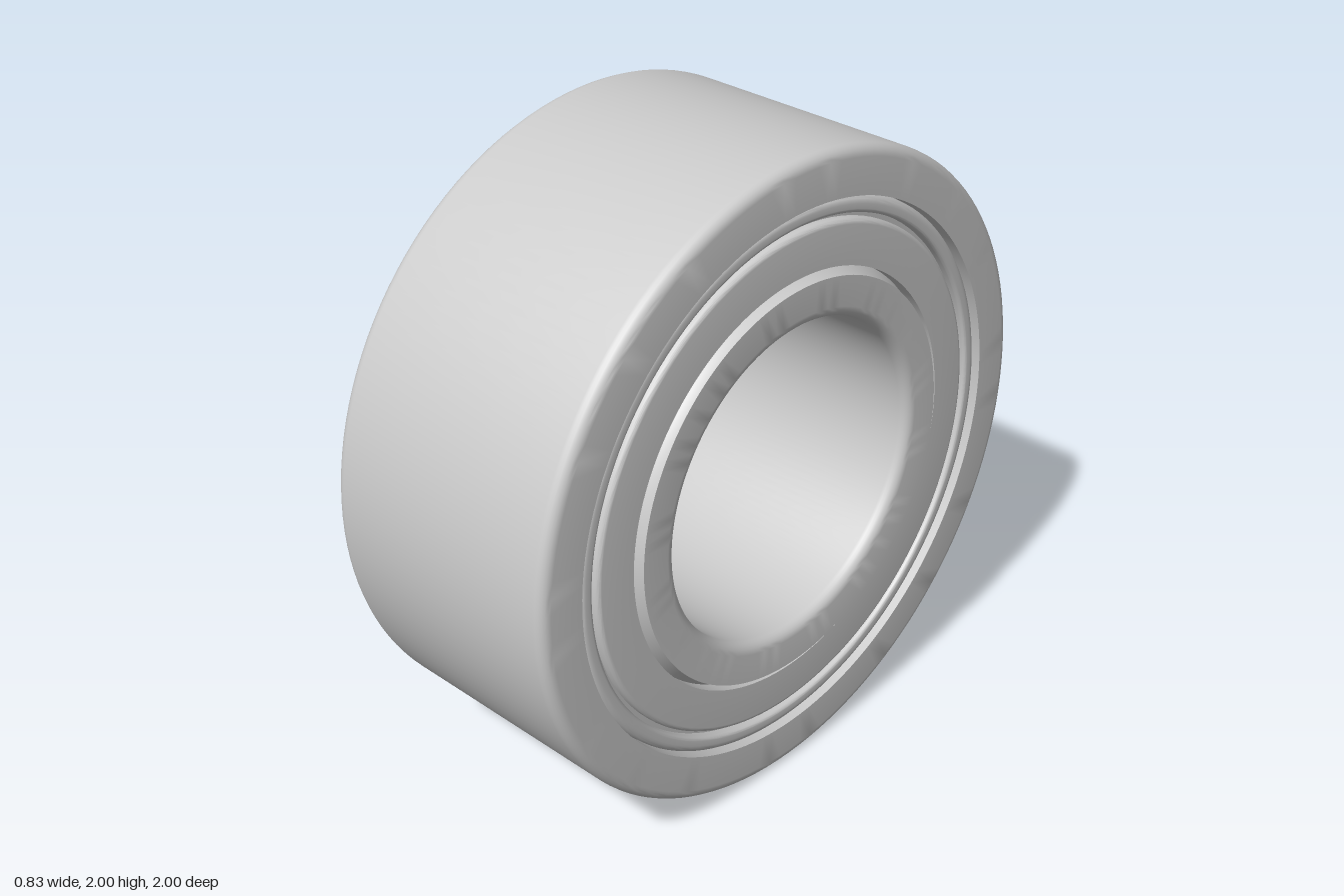
import * as THREE from 'three';
import { toCreasedNormals } from 'three/addons/utils/BufferGeometryUtils.js';

const HALF = 0.415; // half the bearing width
const SEGMENTS = 128;

// Closed cross-section: corners [radius, axial, fillet], counter-clockwise.
function roundedProfile(corners, steps = 6) {
  const pts = [];
  const n = corners.length;
  corners.forEach(([r, a, fillet = 0], i) => {
    const p = new THREE.Vector2(r, a);
    if (!fillet) return pts.push(p);
    const [pr, pa] = corners[(i + n - 1) % n];
    const [nr, na] = corners[(i + 1) % n];
    const toPrev = new THREE.Vector2(pr - r, pa - a).normalize().multiplyScalar(fillet);
    const toNext = new THREE.Vector2(nr - r, na - a).normalize().multiplyScalar(fillet);
    // quarter round between the two tangent points
    const centre = p.clone().add(toPrev).add(toNext);
    for (let s = 0; s <= steps; s++) {
      const t = (s / steps) * Math.PI / 2;
      pts.push(centre.clone().addScaledVector(toNext, -Math.cos(t)).addScaledVector(toPrev, -Math.sin(t)));
    }
  });
  pts.push(pts[0].clone());
  return pts;
}

function revolve(name, corners, material) {
  const lathe = new THREE.LatheGeometry(roundedProfile(corners), SEGMENTS);
  lathe.rotateZ(-Math.PI / 2); // axis along x
  const mesh = new THREE.Mesh(toCreasedNormals(lathe, 0.5), material);
  mesh.name = name;
  return mesh;
}

export function createModel() {
  const group = new THREE.Group();
  group.name = 'ballBearing';
  const metal = new THREE.MeshStandardMaterial({ color: 0xcccccc });

  // Outer race with rounded outer corners
  const outerRace = revolve('outerRace', [
    [1, -HALF, 0.035], [1, HALF, 0.035],
    [0.855, HALF], [0.855, -HALF],
  ], metal);

  // Inner race with rounded bore edges and a sloped shoulder beside each shield
  const innerRace = revolve('innerRace', [
    [0.5, HALF, 0.035], [0.5, -HALF, 0.035],
    [0.627, -HALF], [0.629, -HALF + 0.025], [0.655, -HALF + 0.065],
    [0.655, HALF - 0.065], [0.629, HALF - 0.025], [0.627, HALF],
  ], metal);

  group.add(outerRace, innerRace);

  // Shields: flat plate, narrow groove and rolled rim
  const shieldProfile = [
    [0.65, HALF - 0.09], [0.857, HALF - 0.09],
    [0.852, HALF - 0.045], [0.852, HALF - 0.015, 0.025],
    [0.8, HALF - 0.015, 0.012], [0.8, HALF - 0.045],
    [0.785, HALF - 0.045], [0.785, HALF - 0.015, 0.016],
    [0.65, HALF - 0.015],
  ];
  for (const [name, turn] of [['leftShield', 0], ['rightShield', Math.PI]]) {
    const shield = revolve(name, shieldProfile, metal);
    shield.rotation.y = turn;
    group.add(shield);
  }

  group.children.forEach((part) => { part.position.y = 1; });
  return group;
}
